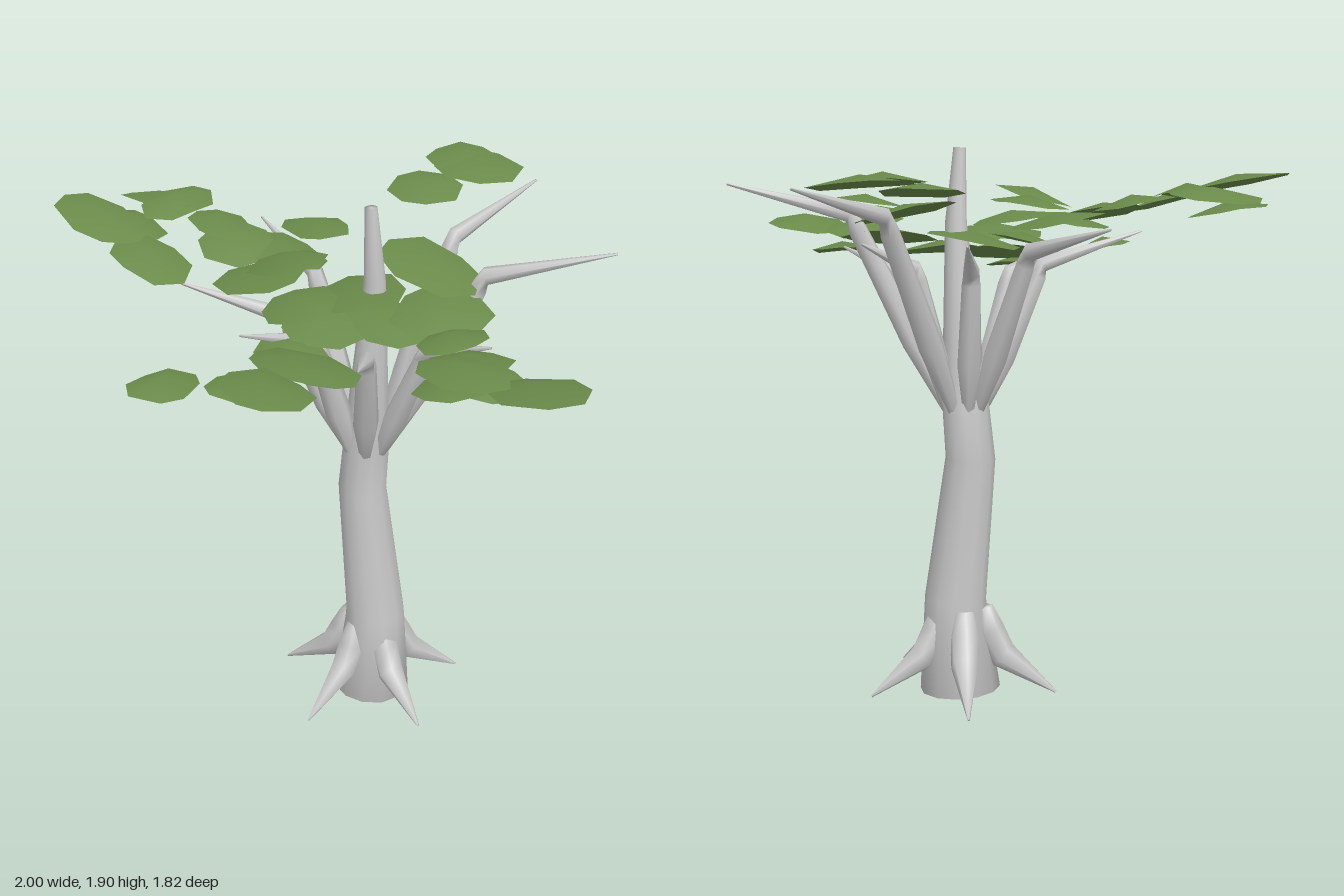
import * as THREE from 'three';

const bark = new THREE.MeshStandardMaterial({ color: 0xc8c8c8 });
bark.name = 'bark grey';
const green = new THREE.MeshStandardMaterial({ color: 0x6a8a4a, side: THREE.DoubleSide });
green.name = 'leaf green';

// Small seeded random generator for leaf outlines
let seed = 7;
const rand = () => (seed = (seed * 16807) % 2147483647) / 2147483647;

// Closed limb through sections of [x, y, z, radius]
function limb(name, sections, sides) {
  const pts = sections.map(s => new THREE.Vector3(s[0], s[1], s[2]));
  const pos = [], idx = [], up = new THREE.Vector3(0, 1, 0), last = pts.length - 1;
  const rings = pts.map((p, k) => {
    const start = pos.length / 3;
    const dir = pts[Math.min(k + 1, last)].clone().sub(pts[Math.max(k - 1, 0)]).normalize();
    const q = new THREE.Quaternion().setFromUnitVectors(up, dir);
    for (let i = 0; i < sides; i++) {
      const a = (i / sides) * Math.PI * 2, r = sections[k][3];
      const v = new THREE.Vector3(Math.cos(a) * r, 0, Math.sin(a) * r).applyQuaternion(q).add(p);
      pos.push(v.x, v.y, v.z);
    }
    return start;
  });
  for (let k = 0; k < last; k++) {
    for (let i = 0; i < sides; i++) {
      const j = (i + 1) % sides;
      const a = rings[k] + i, b = rings[k] + j, c = rings[k + 1] + i, d = rings[k + 1] + j;
      idx.push(a, c, b, b, c, d);
    }
  }
  // Softly shaded end caps
  for (const k of [0, last]) {
    const c = pos.length / 3;
    pos.push(pts[k].x, pts[k].y, pts[k].z);
    for (let i = 0; i < sides; i++) {
      const a = rings[k] + i, b = rings[k] + (i + 1) % sides;
      if (k === 0) idx.push(c, a, b); else idx.push(c, b, a);
    }
  }
  return finish(name, pos, idx, bark);
}

// Thin, domed leaf plate: centre, half sizes, slopes along x and z
function leaf([x, y, z, rx, rz, sx = 0, sz = 0]) {
  const n = 8, pos = [x, y + 0.015, z], idx = [];
  for (let i = 0; i < n; i++) {
    const a = (i / n) * Math.PI * 2 + (i % 4 ? (rand() - 0.5) * 0.4 : 0);
    const r = i % 4 ? 0.95 + rand() * 0.18 : 1;
    const dx = Math.cos(a) * r * rx, dz = Math.sin(a) * r * rz;
    pos.push(x + dx, y + sx * dx + sz * dz - 0.01 - rand() * 0.012, z + dz);
    idx.push(0, 1 + (i + 1) % n, 1 + i);
  }
  return finish('leaf', pos, idx, green);
}

function finish(name, pos, idx, material) {
  const g = new THREE.BufferGeometry();
  g.setAttribute('position', new THREE.Float32BufferAttribute(pos, 3));
  g.setIndex(idx);
  g.computeVertexNormals();
  const mesh = new THREE.Mesh(g, material);
  mesh.name = name;
  return mesh;
}

export function createModel() {
  const tree = new THREE.Group();
  tree.name = 'tree';

  // Bent trunk ending in a thin leader
  tree.add(limb('trunk', [
    [0, 0.01, -0.04, 0.142], [0.02, 0.34, -0.04, 0.108], [-0.04, 0.85, -0.035, 0.086],
    [-0.015, 1.05, -0.03, 0.08], [0.03, 1.65, -0.02, 0.037], [0.02, 1.9, -0.012, 0.021],
  ], 12));

  // Five spreading roots
  for (let k = 0; k < 5; k++) {
    const a = THREE.MathUtils.degToRad(16 + 72 * k), c = Math.cos(a), s = Math.sin(a);
    tree.add(limb('root', [[0.075, 0.31, 0.036], [0.1, 0.23, 0.052], [0.15, 0.14, 0.05], [0.34, 0.02, 0.004]]
      .map(([r, y, w]) => [r * c - 0.005, y, r * s - 0.035, w]), 6));
  }

  // Branches: elbow position, then tip position
  const branches = [
    [0.03, 1.69, -0.42, 0.06, 1.79, -0.83], [0.31, 1.68, -0.24, 0.65, 1.78, -0.47],
    [0.24, 1.46, -0.04, 0.49, 1.55, -0.05], [0.14, 1.46, 0.14, 0.30, 1.55, 0.35],
    [-0.07, 1.47, 0.16, -0.13, 1.56, 0.43], [-0.21, 1.51, 0.15, -0.47, 1.62, 0.37],
    [-0.3, 1.57, -0.08, -0.64, 1.66, -0.16], [-0.12, 1.5, -0.15, -0.22, 1.6, -0.32],
    [0.1, 1.5, -0.16, 0.19, 1.59, -0.33],
  ];
  for (const [ex, ey, ez, tx, ty, tz] of branches) {
    const h = Math.hypot(ex, ez + 0.03);
    const bx = -0.015 + (ex / h) * 0.06, bz = -0.03 + ((ez + 0.03) / h) * 0.06;
    const at = t => [bx + (ex - bx) * t, 1.02 + (ey - 1.02) * t, bz + (ez - bz) * t];
    tree.add(limb('branch', [
      [...at(0), 0.022], [...at(0.35), 0.045], [...at(0.92), 0.034],
      [...at(1), 0.03], [tx, ty, tz, 0.004],
    ], 6));
  }

  // Leaves grouped by the part of the crown they fill
  const crown = {
    backLeaves: [
      [-0.24, 1.83, -0.78, 0.12, 0.12, -0.08, -0.08], [-0.15, 1.82, -0.77, 0.15, 0.14, -0.1, -0.05],
      [-0.2, 1.79, -0.54, 0.135, 0.12, -0.08, -0.15],
    ],
    middleLeaves: [
      [0.14, 1.7, -0.17, 0.185, 0.14, -0.25], [0.27, 1.61, -0.07, 0.155, 0.155, -0.1, -0.2],
      [-0.02, 1.61, 0, 0.17, 0.15, 0.15, -0.1], [-0.31, 1.74, -0.1, 0.15, 0.085, 0.1, -0.1],
      [-0.34, 1.68, 0.02, 0.16, 0.12, -0.15, 0.1], [0.13, 1.57, 0.03, 0.15, 0.12, -0.15, -0.1],
    ],
    frontLeaves: [
      [-0.26, 1.67, 0.21, 0.155, 0.14, 0.15, -0.1], [-0.14, 1.75, 0.2, 0.14, 0.115, 0.25, -0.1],
      [-0.11, 1.6, 0.18, 0.13, 0.12, 0.1, -0.2],
      [-0.03, 1.56, 0.14, 0.16, 0.14, -0.1, -0.2], [-0.02, 1.51, 0.32, 0.13, 0.095, -0.1, -0.1],
      [0.19, 1.6, 0.49, 0.185, 0.115, 0.05, 0.1], [0.28, 1.58, 0.46, 0.11, 0.09, 0.1, 0.12],
      [0.03, 1.5, 0.58, 0.11, 0.105, -0.08, 0.1], [0.28, 1.635, 0.72, 0.145, 0.13, -0.08, 0.13],
      [-0.09, 1.545, 0.78, 0.088, 0.125, -0.1, 0.1],
    ],
    rightSideLeaves: [
      [-0.57, 1.74, 0.1, 0.115, 0.11, -0.15, 0.1], [-0.45, 1.71, 0.13, 0.12, 0.125, -0.2, -0.1],
      [-0.84, 1.77, 0.13, 0.16, 0.09, 0.08, 0.05], [-0.75, 1.78, 0.13, 0.09, 0.14, -0.15, -0.05],
      [-0.83, 1.72, 0.27, 0.13, 0.1, -0.15, 0.05], [-0.78, 1.8, 0.44, 0.185, 0.11, -0.2, -0.05],
      [-0.52, 1.73, 0.45, 0.16, 0.11, -0.25],
    ],
    leftSideLeaves: [
      [0.51, 1.67, 0.17, 0.09, 0.13, 0.1, 0.05], [0.56, 1.61, 0.16, 0.14, 0.14, 0.15, 0.1],
      [0.62, 1.54, 0.1, 0.11, 0.1, -0.15, -0.1], [0.84, 1.62, 0.18, 0.16, 0.135, 0.15, 0.1],
      [0.71, 1.7, 0.36, 0.165, 0.09, 0.05, -0.1], [0.67, 1.64, 0.35, 0.11, 0.12, 0.1],
    ],
  };
  for (const [name, list] of Object.entries(crown)) {
    const cluster = new THREE.Group();
    cluster.name = name;
    list.forEach(l => cluster.add(leaf(l)));
    tree.add(cluster);
  }
  return tree;
}
